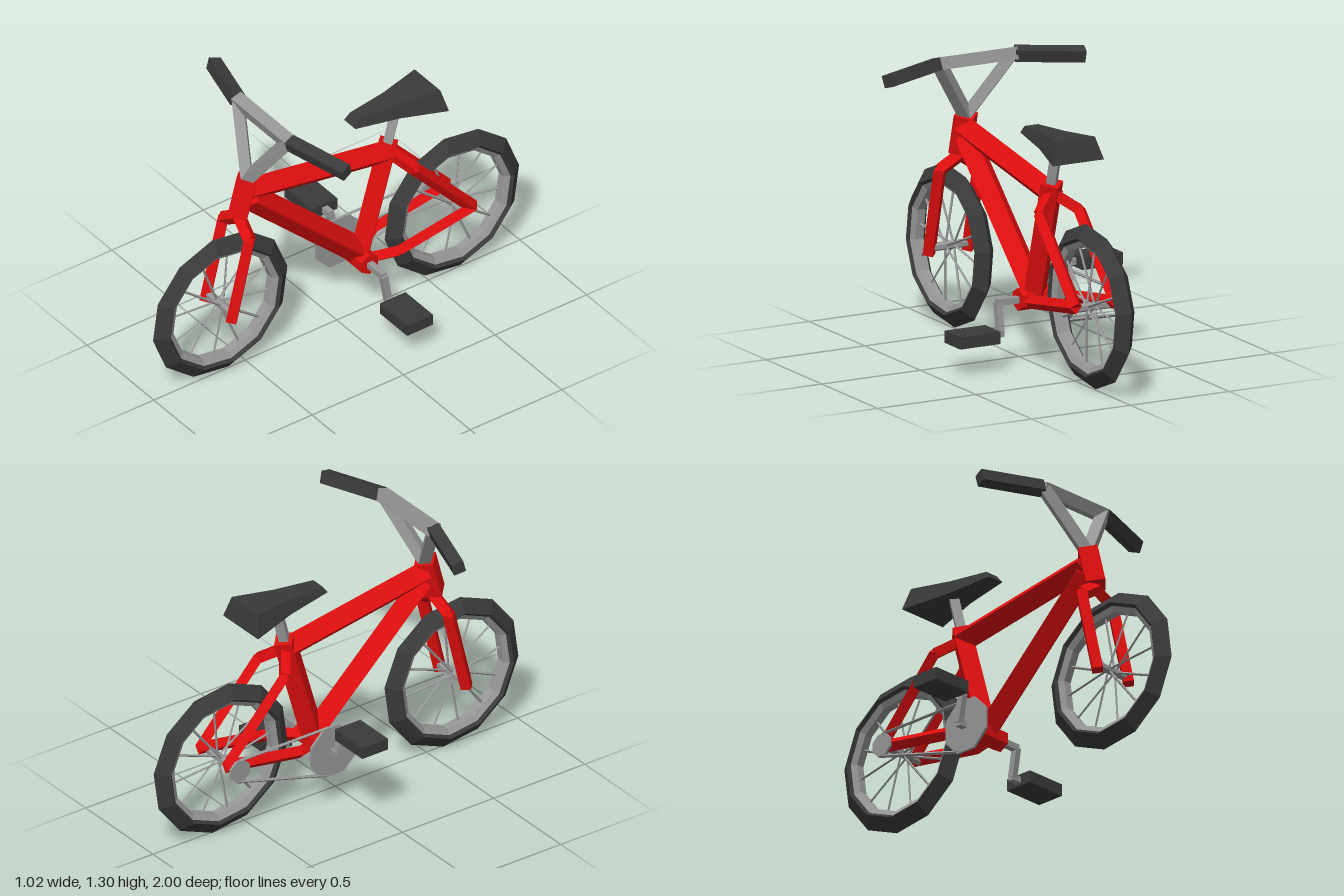
import * as THREE from 'three';

const mat = (name, color, extra = {}) => {
  const m = new THREE.MeshStandardMaterial({ color, flatShading: true, ...extra });
  m.name = name;
  return m;
};

export function createModel() {
  const red = mat('red paint', 0xdd0e0e);
  const metal = mat('grey metal', 0x979797);
  const rubber = mat('dark rubber', 0x3a3a3a, { side: THREE.DoubleSide });

  const root = new THREE.Group();
  root.name = 'bicycle';
  const bike = new THREE.Group();
  bike.name = 'bicycleBody';
  bike.position.x = -0.006;
  root.add(bike);

  const add = (name, geo, material, parent = bike) => {
    const m = new THREE.Mesh(geo, material);
    m.name = name;
    parent.add(m);
    return m;
  };

  // Straight tube between two points; four sides give a diamond section
  const tube = (name, a, b, r, material, { sides = 4, roll = 0, parent = bike } = {}) => {
    const A = new THREE.Vector3(...a), B = new THREE.Vector3(...b);
    const Y = B.clone().sub(A), len = Y.length();
    Y.normalize();
    const ref = Math.abs(Y.x) > 0.8 ? new THREE.Vector3(0, 0, 1) : new THREE.Vector3(1, 0, 0);
    const Z = ref.cross(Y).normalize();
    const X = new THREE.Vector3().crossVectors(Y, Z);
    const geo = new THREE.CylinderGeometry(r, r, len, sides);
    geo.rotateY(roll);
    const m = add(name, geo, material, parent);
    m.quaternion.setFromRotationMatrix(new THREE.Matrix4().makeBasis(X, Y, Z));
    m.position.copy(A.add(B).multiplyScalar(0.5));
    return m;
  };

  // Wheels: twelve-sided wedge tyre, rim, spokes and hub
  const ring = (pts) => {
    const g = new THREE.LatheGeometry(pts.map(p => new THREE.Vector2(...p)), 12, -7 * Math.PI / 180);
    return g.rotateZ(Math.PI / 2);
  };
  const makeWheel = (name, z) => {
    const w = new THREE.Group();
    w.name = name;
    w.position.set(0, 0.367, z);
    bike.add(w);
    add('tyre', ring([[0.297, -0.035], [0.31, -0.048], [0.37, 0], [0.31, 0.048], [0.297, 0.035]]), rubber, w);
    add('rim', ring([[0.297, 0.035], [0.272, 0.02], [0.272, -0.02], [0.297, -0.035]]), metal, w);
    for (let i = 0; i < 12; i++) {
      const t = (i * 30 + 8) * Math.PI / 180, c = Math.cos(t), s = Math.sin(t);
      tube('spoke', [i % 2 ? 0.02 : -0.02, 0.012 * s, 0.012 * c], [0, 0.28 * s, 0.28 * c], 0.006, metal, { parent: w });
    }
    tube('hub', [-0.1, 0, 0], [0.1, 0, 0], 0.02, metal, { sides: 6, parent: w });
  };
  makeWheel('frontWheel', 0.633);
  makeWheel('rearWheel', -0.633);

  // Main frame
  tube('headTube', [0, 0.995, 0.487], [0, 0.815, 0.535], 0.062, red);
  tube('topTube', [0, 0.93, 0.48], [0, 0.805, -0.28], 0.061, red);
  tube('downTube', [0, 0.89, 0.475], [0, 0.32, -0.13], 0.061, red);
  tube('seatTube', [0, 0.855, -0.285], [0, 0.3, -0.125], 0.058, red);
  tube('bottomBracket', [-0.083, 0.297, -0.125], [0.083, 0.297, -0.125], 0.052, red, { sides: 6 });

  // Fork and rear stays, mirrored; each is a short shoulder and a long blade
  for (const s of [-1, 1]) {
    const stay = (name, r, pts) => {
      for (let i = 0; i < pts.length - 1; i++) tube(name, pts[i], pts[i + 1], r, red);
      for (const p of pts.slice(1, -1)) {
        const j = add(name + 'Joint', new THREE.OctahedronGeometry(r), red);
        j.position.set(...p);
      }
    };
    stay('forkBlade', 0.033, [[0, 0.805, 0.53], [s * 0.099, 0.74, 0.545], [s * 0.099, 0.335, 0.643]]);
    stay('seatStay', 0.031, [[0, 0.81, -0.28], [s * 0.1, 0.735, -0.355], [s * 0.1, 0.385, -0.675]]);
    stay('chainStay', 0.031, [[s * 0.03, 0.295, -0.13], [s * 0.1, 0.32, -0.27], [s * 0.1, 0.385, -0.675]]);
  }

  // Handlebar: V stem, crossbar and swept grips
  const lean = { roll: Math.PI / 4 + 0.28 };
  for (const s of [-1, 1]) {
    tube('handlebarStem', [0, 0.99, 0.487], [s * 0.185, 1.265, 0.4], 0.036, metal);
    tube('grip', [s * 0.195, 1.268, 0.395], [s * 0.5, 1.247, 0.305], 0.04, rubber, lean);
  }
  tube('crossbar', [-0.198, 1.268, 0.395], [0.198, 1.268, 0.395], 0.04, metal, lean);

  // Saddle lofted from trapezoid sections: z top, z bottom, half widths and heights
  const sections = [
    [-0.5, -0.523, 0.097, 1.1, 0.13, 0.997],
    [-0.3, -0.3, 0.055, 1.087, 0.072, 1.02],
    [-0.1, -0.075, 0.034, 1.076, 0.042, 1.042],
  ];
  const pos = [], idx = [];
  for (const [zt, zb, wt, yt, wb, yb] of sections)
    pos.push(-wt, yt, zt, wt, yt, zt, wb, yb, zb, -wb, yb, zb);
  for (let k = 0; k < 2; k++)
    for (let j = 0; j < 4; j++) {
      const a = k * 4 + j, b = k * 4 + (j + 1) % 4;
      idx.push(a, a + 4, b, b, a + 4, b + 4);
    }
  idx.push(0, 1, 2, 0, 2, 3, 8, 10, 9, 8, 11, 10);
  const saddle = new THREE.BufferGeometry();
  saddle.setAttribute('position', new THREE.Float32BufferAttribute(pos, 3));
  saddle.setIndex(idx);
  saddle.computeVertexNormals();
  add('saddle', saddle, rubber);
  tube('seatPost', [0, 0.84, -0.28], [0, 1.045, -0.335], 0.03, metal);

  // Drivetrain on the right side
  const cx = -0.142, cy = 0.297, cz = -0.118;
  tube('chainring', [cx - 0.006, cy, cz], [cx + 0.006, cy, cz], 0.134, metal, { sides: 8, roll: Math.PI / 8 });
  tube('rearCog', [cx - 0.006, 0.367, -0.633], [cx + 0.006, 0.367, -0.633], 0.057, metal, { sides: 8, roll: Math.PI / 8 });
  tube('rearCogAxle', [cx, 0.367, -0.633], [-0.08, 0.367, -0.633], 0.015, metal, { sides: 6 });
  tube('chainTop', [cx, 0.42, -0.15], [cx, 0.42, -0.633], 0.008, metal);
  tube('chainBottom', [cx, 0.178, -0.15], [cx, 0.316, -0.645], 0.008, metal);

  // Cranks and pedals: right one up, left one down
  tube('crankAxle', [-0.19, cy, -0.125], [0.19, cy, -0.125], 0.021, metal, { roll: Math.PI / 4 });
  for (const [s, y, z] of [[-1, 0.43, -0.1], [1, 0.16, -0.148]]) {
    tube('crankArm', [s * 0.184, cy, -0.125], [s * 0.184, y, z], 0.021, metal, { roll: Math.PI / 4 });
    tube('pedalAxle', [s * 0.172, y, z], [s * 0.23, y, z], 0.021, metal, { roll: Math.PI / 4 });
    const p = add('pedal', new THREE.BoxGeometry(0.205, 0.056, 0.14), rubber);
    p.position.set(s * 0.324, y, z);
  }
  return root;
}
